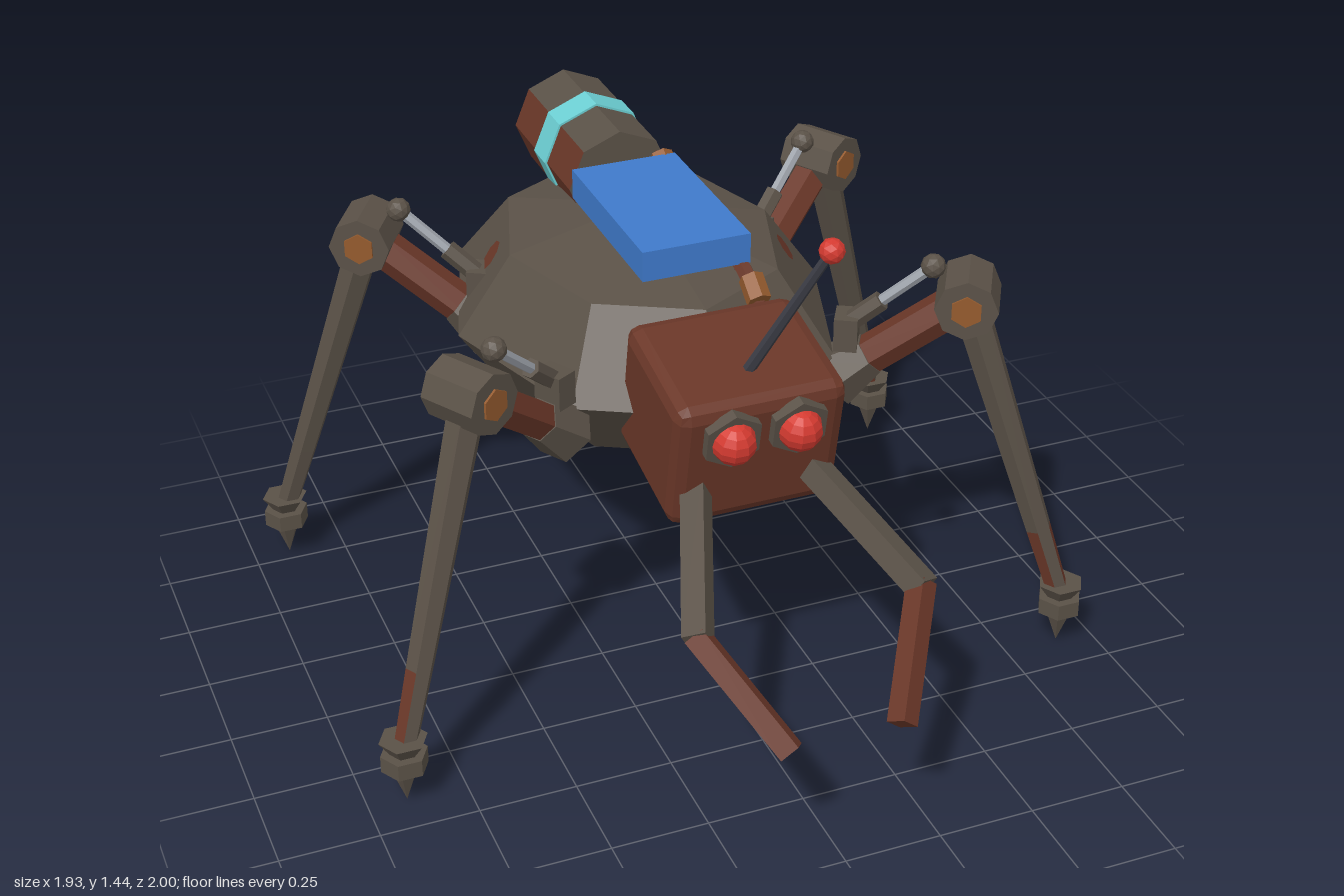
import * as THREE from 'three';
import { RoundedBoxGeometry } from 'three/addons/geometries/RoundedBoxGeometry.js';

const V = (x, y, z) => new THREE.Vector3(x, y, z);
const UP = V(0, 1, 0);

function material(name, color) {
  const m = new THREE.MeshStandardMaterial({ color, flatShading: true });
  m.name = name;
  return m;
}

export function createModel() {
  const grey = material('weathered grey', 0x5a5147);
  const rust = material('rust', 0x6a3728);
  const blue = material('panel blue', 0x3f7acb);
  const teal = material('band teal', 0x6ccfd3);
  const red = material('eye red', 0xd43a30);
  const copper = material('copper', 0x945a2e);
  const silver = material('piston silver', 0x9da2aa);
  const slate = material('antenna slate', 0x3e4049);

  const model = new THREE.Group();
  model.name = 'spiderRobot';

  function add(parent, name, geo, mat, x = 0, y = 0, z = 0) {
    const m = new THREE.Mesh(geo, mat);
    m.name = name;
    m.position.set(x, y, z);
    parent.add(m);
    return m;
  }

  // Place a y-aligned geometry between two points
  function span(parent, name, a, b, geo, mat) {
    const c = a.clone().add(b).multiplyScalar(0.5);
    const m = add(parent, name, geo, mat, c.x, c.y, c.z);
    m.quaternion.setFromUnitVectors(UP, b.clone().sub(a).normalize());
    return m;
  }
  // Faceted rod: radius ra at a, rb at b
  const rod = (parent, name, a, b, ra, rb, sides, mat) =>
    span(parent, name, a, b, new THREE.CylinderGeometry(rb, ra, a.distanceTo(b), sides), mat);

  // Assign the second material to chosen side faces of a cylinder
  function paintSides(geo, sides, painted) {
    const total = geo.index.count;
    geo.clearGroups();
    for (let i = 0; i < sides; i++) geo.addGroup(i * 6, 6, painted.includes(i) ? 1 : 0);
    geo.addGroup(sides * 6, total - sides * 6, 0);
    return geo;
  }

  // Abdomen: faceted ellipsoid
  const bodyGeo = new THREE.SphereGeometry(1, 8, 4).scale(0.5, 0.29, 0.65);
  const body = add(model, 'abdomen', bodyGeo, grey, 0, 0.84, -0.35);

  // Rust spots lying flat on the abdomen facets: [row, column, u, v, radius]
  const spots = [[1, 7, 0.6, 0.35, 0.045], [1, 5, 0.55, 0.2, 0.05], [1, 5, 0.25, 0.75, 0.04],
    [1, 6, 0.3, 0.45, 0.04], [2, 4, 0.4, 0.45, 0.04], [1, 3, 0.7, 0.3, 0.04], [2, 7, 0.4, 0.5, 0.04]];
  const corner = (j, i) => new THREE.Vector3().fromBufferAttribute(bodyGeo.attributes.position, j * 9 + i);
  for (const [j, i, u, v, r] of spots) {
    const a = corner(j, i), b = corner(j, i + 1), c = corner(j + 1, i), d = corner(j + 1, i + 1);
    const p = a.clone().lerp(b, u).lerp(c.clone().lerp(d, u), v);
    const n = d.clone().sub(a).cross(b.clone().sub(c)).normalize();
    if (n.dot(p) < 0) n.negate();
    p.addScaledVector(n, 0.003);
    const spot = add(body, 'rustSpot', new THREE.CircleGeometry(r, 8), rust, p.x, p.y, p.z);
    spot.quaternion.setFromUnitVectors(V(0, 0, 1), n);
  }

  // Head, tilted forward, with eyes
  const head = new THREE.Group();
  head.name = 'head';
  head.position.set(0, 0.85, 0.27);
  head.rotation.x = 0.2;
  model.add(head);
  add(head, 'headShell', new RoundedBoxGeometry(0.44, 0.36, 0.37, 1, 0.035), rust);
  for (const s of [-1, 1]) {
    const bezel = add(head, 'eyeBezel', new THREE.CylinderGeometry(0.078, 0.078, 0.03, 6), grey, s * 0.085, 0.095, 0.195);
    bezel.rotation.x = Math.PI / 2;
    add(head, 'eye', new THREE.SphereGeometry(0.055, 10, 8), red, s * 0.085, 0.095, 0.21);
  }

  // Antenna
  const tip = V(0.11, 1.41, 0.585);
  rod(model, 'antenna', V(0, 0.98, 0.345), tip, 0.016, 0.012, 6, slate);
  add(model, 'antennaTip', new THREE.IcosahedronGeometry(0.031, 1), red, tip.x, tip.y, tip.z);

  // Mandibles
  for (const s of [-1, 1]) {
    const root = V(s * 0.14, 0.755, 0.39), elbow = V(s * 0.285, 0.575, 0.765), end = V(s * 0.145, 0.365, 0.975);
    const bar = (a, b, w) => new THREE.BoxGeometry(w, a.distanceTo(b) + 0.02, w);
    span(model, 'mandibleArm', root, elbow, bar(root, elbow, 0.06), grey);
    span(model, 'mandibleClaw', elbow, end, bar(elbow, end, 0.052), rust);
  }

  // Legs, each built in its own plane with the knee above the origin
  function leg(sx, sz) {
    const g = new THREE.Group();
    g.name = (sz > 0 ? 'front' : 'back') + (sx > 0 ? 'Left' : 'Right') + 'Leg';
    g.position.set(sx * 0.65, 0, -0.2 + sz * 0.445);
    g.rotation.y = -Math.atan2(sz * 0.5, sx * 0.866);
    model.add(g);

    const hip = V(-0.33, 0.77, 0), knee = V(0, 1.02, 0), ankle = V(0.285, 0.16, 0);
    rod(g, 'hipJoint', hip, hip.clone().lerp(knee, 0.28), 0.085, 0.055, 6, grey);
    rod(g, 'upperLeg', hip, knee, 0.052, 0.052, 6, rust);

    const joint = add(g, 'kneeJoint', new THREE.CylinderGeometry(0.08, 0.08, 0.16, 8), grey, 0, 1.02, 0);
    joint.rotation.x = Math.PI / 2;
    const bolt = add(g, 'kneeBolt', new THREE.CylinderGeometry(0.042, 0.042, 0.172, 6), copper, 0, 1.02, 0);
    bolt.rotation.x = Math.PI / 2;

    // Piston from hip to knee
    const p0 = V(-0.29, 0.93, 0), p1 = V(-0.09, 1.1, 0);
    add(g, 'pistonMount', new THREE.BoxGeometry(0.06, 0.09, 0.08), grey, p0.x - 0.01, p0.y - 0.025, 0);
    rod(g, 'pistonSleeve', p0, p0.clone().lerp(p1, 0.38), 0.026, 0.026, 6, grey);
    rod(g, 'pistonRod', p0, p1, 0.015, 0.015, 6, silver);
    add(g, 'pistonBall', new THREE.IcosahedronGeometry(0.032, 1), grey, p1.x, p1.y, 0);

    // Shin with rusted faces near the foot
    const mid = knee.clone().lerp(ankle, 0.77);
    rod(g, 'shin', knee, mid, 0.048, 0.035, 6, grey);
    const len = mid.distanceTo(ankle);
    const lower = paintSides(new THREE.CylinderGeometry(0.03, 0.035, len, 6), 6, [0, 4]);
    span(g, 'lowerShin', mid, ankle, lower, [grey, rust]);

    // Foot
    add(g, 'ankleCup', new THREE.CylinderGeometry(0.062, 0.035, 0.04, 6), grey, 0.29, 0.17, 0);
    add(g, 'footCollar', new THREE.CylinderGeometry(0.06, 0.06, 0.045, 6), grey, 0.29, 0.128, 0);
    add(g, 'footSpike', new THREE.ConeGeometry(0.036, 0.1, 6).rotateX(Math.PI), grey, 0.29, 0.055, 0);
  }
  for (const sx of [-1, 1]) for (const sz of [-1, 1]) leg(sx, sz);

  // Back panel
  add(model, 'backPanel', new THREE.BoxGeometry(0.285, 0.08, 0.51), blue, 0, 1.16, -0.205);

  // Canister with rusted flanks and a coloured band
  const can = paintSides(new THREE.CylinderGeometry(0.142, 0.142, 0.445, 8), 8, [1, 2, 5, 6]);
  add(model, 'canister', can.rotateX(-Math.PI / 2), [grey, rust], 0, 1.13, -0.708);
  add(model, 'canisterBand', new THREE.CylinderGeometry(0.148, 0.148, 0.09, 8).rotateX(-Math.PI / 2), teal, 0, 1.13, -0.71);

  // Cable from canister to head, passing under the panel
  const path = new THREE.CatmullRomCurve3([V(0.11, 1.185, -0.495), V(0.115, 1.145, -0.42),
    V(0.11, 1.14, -0.1), V(0.12, 1.12, 0.02), V(0.135, 1.065, 0.09), V(0.135, 0.99, 0.15)]);
  add(model, 'cable', new THREE.TubeGeometry(path, 14, 0.022, 6), rust);
  rod(model, 'rearCableFitting', V(0.115, 1.185, -0.49), V(0.115, 1.14, -0.42), 0.032, 0.032, 6, copper);
  rod(model, 'frontCableFitting', V(0.135, 1.09, 0.07), V(0.135, 1.05, 0.125), 0.032, 0.032, 6, copper);

  return model;
}
